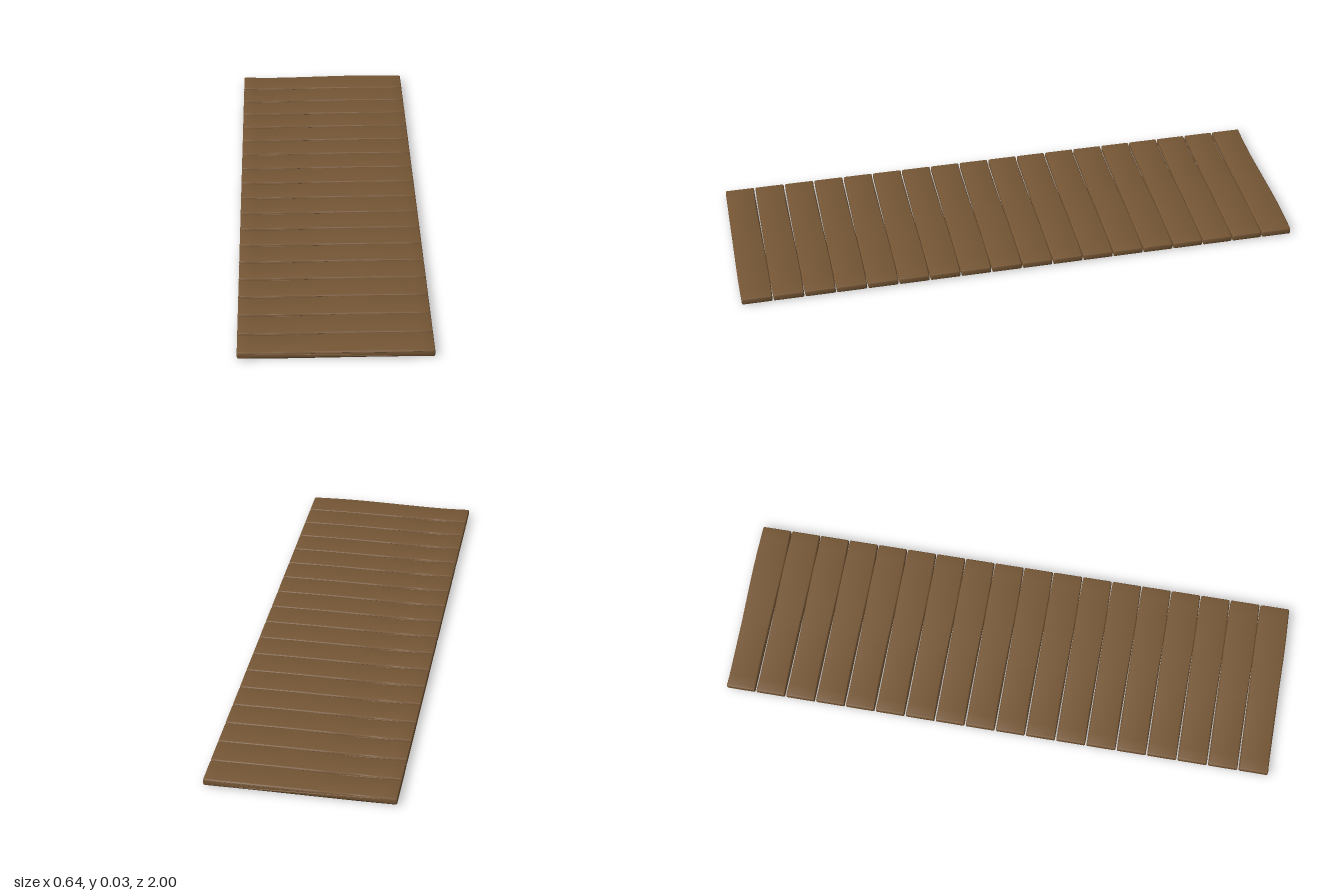
import * as THREE from 'three';
import { toCreasedNormals } from 'three/addons/utils/BufferGeometryUtils.js';

const COUNT = 18;
const PITCH = 2 / COUNT;
const HALF = 0.322; // half the plank length
const CORNER = 0.006;
const BEVEL = 0.005;

// Smooth curve through values at the ends, the narrow waist and the wide swell
const profile = (a, b, c, d) => {
  const curve = new THREE.SplineCurve([
    new THREE.Vector2(-HALF, a), new THREE.Vector2(-0.18, b),
    new THREE.Vector2(0.14, c), new THREE.Vector2(HALF, d),
  ]);
  const points = curve.getPoints(60);
  return (x) => {
    let i = 1;
    while (i < points.length - 1 && points[i].x < x) i++;
    const p = points[i - 1], q = points[i];
    const t = THREE.MathUtils.clamp((x - p.x) / (q.x - p.x), 0, 1);
    return p.y + (q.y - p.y) * t;
  };
};
const top = profile(0.027, 0.0255, 0.0295, 0.0275);
const bottom = profile(0.003, 0, 0.005, 0.003);
const width = profile(0.106, 0.101, PITCH, 0.107);

// One slightly warped plank with rounded edges, lying along x
function plankGeometry() {
  const shape = new THREE.Shape();
  const steps = 16;
  const inner = HALF - CORNER;
  const at = (i) => -inner + (2 * inner * i) / steps;

  shape.moveTo(-inner, bottom(-inner));
  for (let i = 1; i <= steps; i++) shape.lineTo(at(i), bottom(at(i)));
  shape.quadraticCurveTo(HALF, bottom(HALF), HALF, bottom(HALF) + CORNER);
  shape.lineTo(HALF, top(HALF) - CORNER);
  shape.quadraticCurveTo(HALF, top(HALF), inner, top(inner));
  for (let i = steps - 1; i >= 0; i--) shape.lineTo(at(i), top(at(i)));
  shape.quadraticCurveTo(-HALF, top(-HALF), -HALF, top(-HALF) - CORNER);
  shape.lineTo(-HALF, bottom(-HALF) + CORNER);
  shape.quadraticCurveTo(-HALF, bottom(-HALF), -inner, bottom(-inner));

  const depth = PITCH - 2 * BEVEL;
  const geometry = new THREE.ExtrudeGeometry(shape, {
    depth, curveSegments: 3, bevelEnabled: true, bevelSegments: 3,
    bevelSize: BEVEL, bevelThickness: BEVEL, bevelOffset: -BEVEL,
  });
  geometry.translate(0, 0, -depth / 2);

  // Narrow the plank along its length to open the uneven gaps
  const pos = geometry.attributes.position;
  for (let i = 0; i < pos.count; i++) {
    pos.setZ(i, (pos.getZ(i) * width(pos.getX(i))) / PITCH);
  }
  return toCreasedNormals(geometry, Math.PI / 5);
}

export function createModel() {
  const group = new THREE.Group();
  group.name = 'plankWalkway';
  const wood = new THREE.MeshStandardMaterial({ color: 0x755635 });
  const geometry = plankGeometry();

  // Row of identical planks from back to front
  for (let i = 0; i < COUNT; i++) {
    const plank = new THREE.Mesh(geometry, wood);
    plank.name = `plank${i + 1}`;
    plank.position.z = -1 + PITCH * (i + 0.5);
    group.add(plank);
  }
  return group;
}
